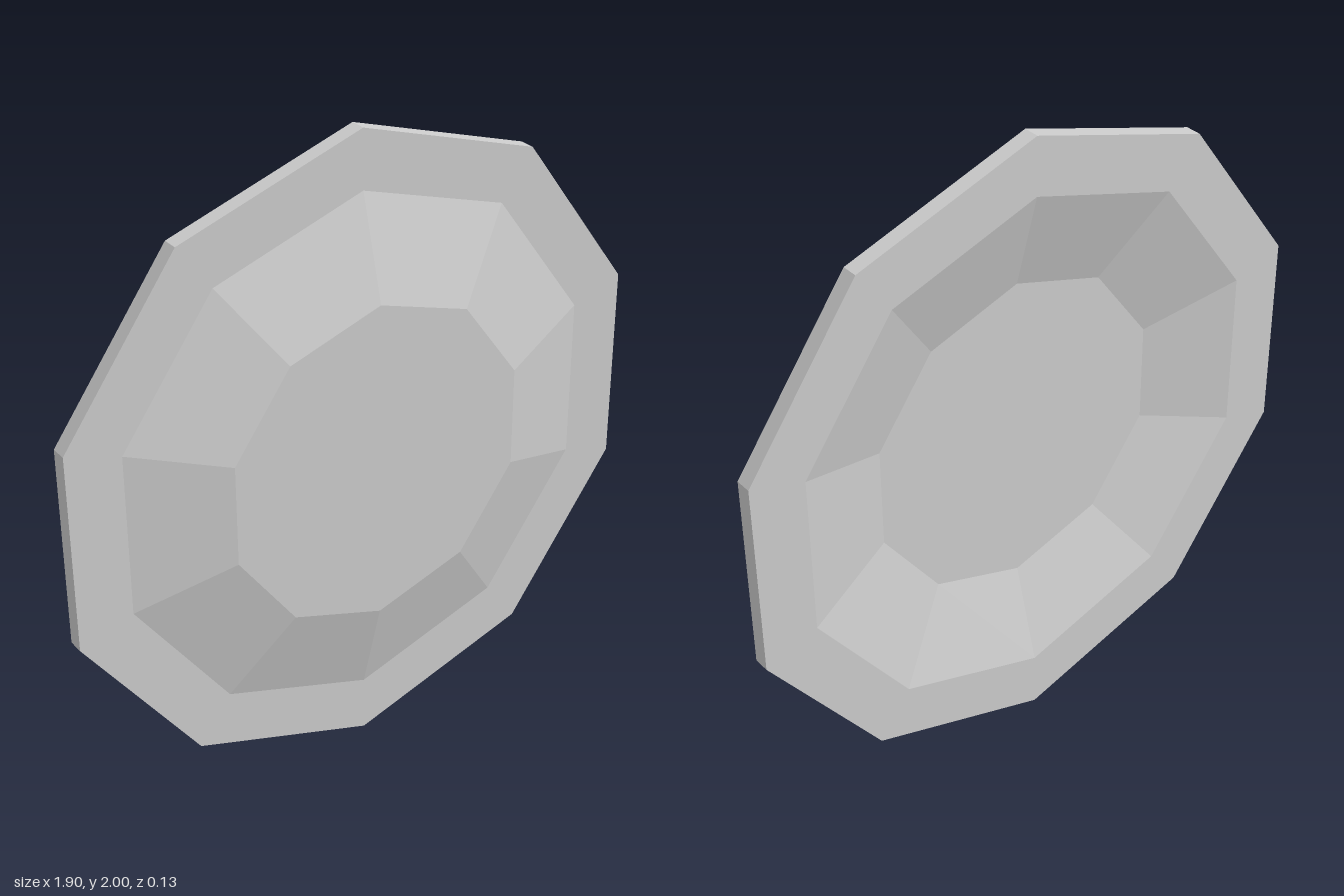
import * as THREE from 'three';

export function createModel() {
  const group = new THREE.Group();
  group.name = 'dishedPlate';
  const grey = new THREE.MeshStandardMaterial({ color: 0xcccccc });
  grey.name = 'light grey';

  // Closed cross-section [radius, depth]: recessed back, flat rim, raised front
  const profile = [
    [0, 0.018], [0.51, 0.018], [0.82, -0.067], [1, -0.067],
    [1, -0.017], [0.82, -0.017], [0.51, 0.067], [0, 0.067],
  ].map(([r, d]) => new THREE.Vector2(r, d));

  // Ten-sided plate, turned so its axis points to the front, with faceted normals
  const geometry = new THREE.LatheGeometry(profile, 10).toNonIndexed();
  geometry.rotateX(Math.PI / 2);
  geometry.computeVertexNormals();

  const plate = new THREE.Mesh(geometry, grey);
  plate.name = 'plate';
  plate.position.y = 1;
  group.add(plate);
  return group;
}
